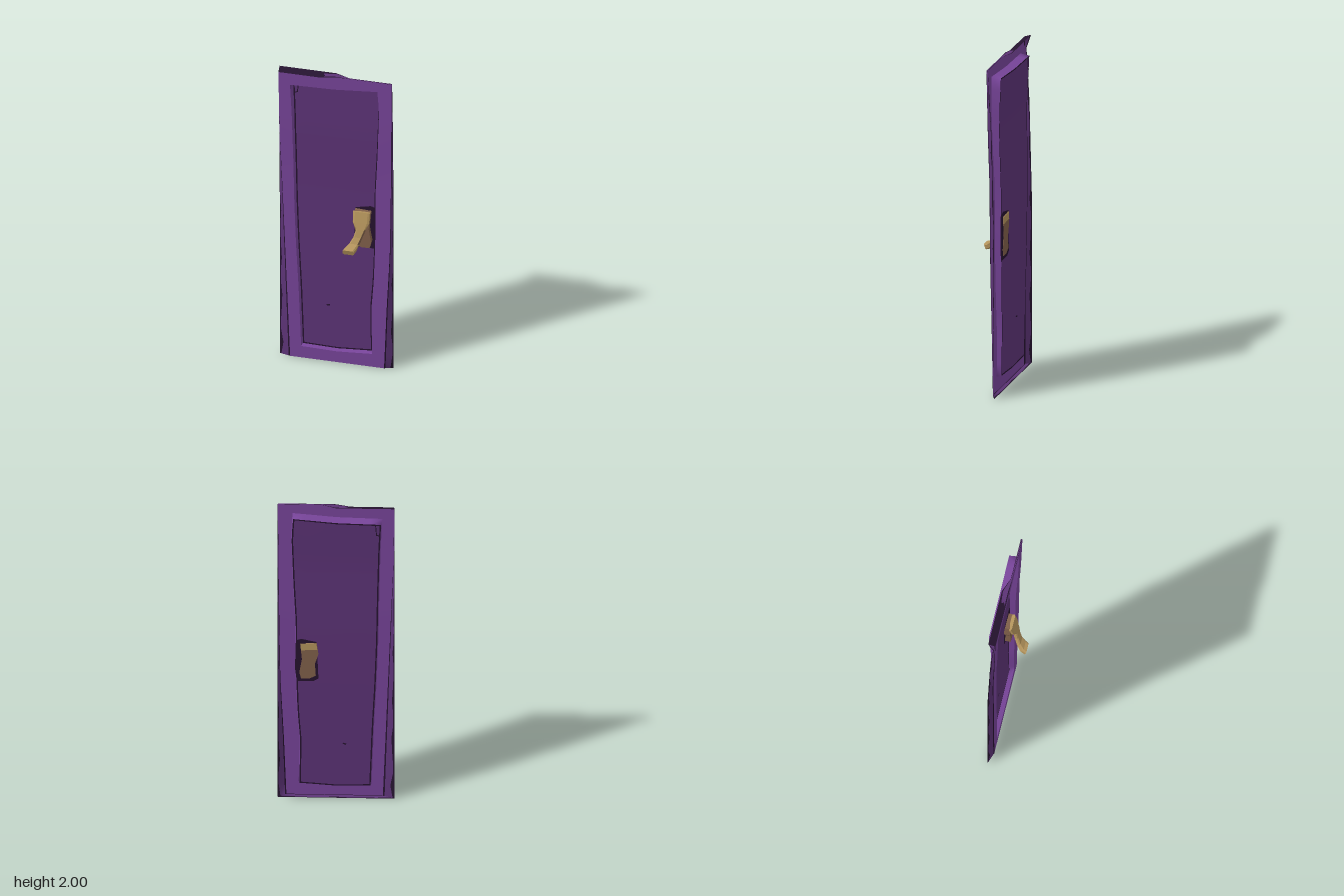
import * as THREE from 'three';

const mat = (name, color, side = THREE.DoubleSide) => {
  const m = new THREE.MeshStandardMaterial({ color, side });
  m.name = name;
  return m;
};

// Piecewise linear curve through [position, value] pairs
const curve = (pts) => (t) => {
  if (t <= pts[0][0]) return pts[0][1];
  for (let i = 1; i < pts.length; i++) {
    const [a, va] = pts[i - 1], [b, vb] = pts[i];
    if (t <= b) return va + (vb - va) * (t - a) / (b - a);
  }
  return pts[pts.length - 1][1];
};

// Open surface through rows of points with equal counts
function sheet(rows) {
  const n = rows[0].length, idx = [];
  for (let r = 0; r < rows.length - 1; r++) {
    for (let c = 0; c < n - 1; c++) {
      const a = r * n + c, b = a + 1, d = a + n, e = d + 1;
      idx.push(a, b, e, a, e, d);
    }
  }
  const g = new THREE.BufferGeometry();
  g.setAttribute('position', new THREE.Float32BufferAttribute(rows.flat(2), 3));
  g.setIndex(idx);
  g.computeVertexNormals();
  return g;
}

// Hand-cut outlines: x of each edge by height
const innerL = curve([[0.08, -0.205], [0.5, -0.22], [0.8, -0.235], [1.1, -0.245], [1.4, -0.25], [1.7, -0.257], [1.92, -0.267]]);
const innerR = curve([[0.08, 0.215], [0.4, 0.21], [0.6, 0.225], [0.9, 0.235], [1.2, 0.235], [1.5, 0.25], [1.8, 0.26], [1.94, 0.25]]);
const outerL = curve([[0, -0.27], [0.4, -0.285], [0.8, -0.3], [1.2, -0.315], [1.6, -0.33], [2, -0.335]]);
const outerR = curve([[0, 0.285], [0.4, 0.3], [0.8, 0.32], [1.1, 0.325], [1.5, 0.33], [2, 0.335]]);
const innerTop = curve([[0, 1.905], [0.5, 1.912], [1, 1.935]]);
const innerBottom = curve([[0, 0.085], [0.5, 0.08], [1, 0.095]]);
// Depth of the face, the pressed panel and the folded rim by height
const faceZ = curve([[0, -0.035], [1, -0.03], [1.3, -0.029], [1.6, -0.02], [2, -0.013]]);
const panelZ = curve([[0, -0.06], [0.75, -0.066], [1.2, -0.066], [1.6, -0.06], [1.9, -0.07]]);
const rimZ = curve([[0, -0.06], [1, -0.06], [1.6, -0.045], [1.9, -0.028], [2, -0.022]]);

// Corner-to-corner walk round the door, as u (across) and v (up)
const COLS = 8, ROWS = 24, walk = [];
for (let i = 0; i < ROWS; i++) walk.push([0, i / ROWS]);
for (let i = 0; i < COLS; i++) walk.push([i / COLS, 1]);
for (let i = 0; i < ROWS; i++) walk.push([1, 1 - i / ROWS]);
for (let i = 0; i <= COLS; i++) walk.push([1 - i / COLS, 0]);
const TOP_START = ROWS, TOP_MID = ROWS + COLS / 2 + 1;

const innerPoint = (inset, z) => ([u, v]) => {
  const y = THREE.MathUtils.lerp(innerBottom(u) + inset, innerTop(u) - inset, v);
  return [THREE.MathUtils.lerp(innerL(y) + inset, innerR(y) - inset, u), y, z(y)];
};
const outerPoint = ([u, v]) => {
  const y = v === 1 && u < 0.5 ? 1.984 : 0.006 + v * 1.994;
  return [THREE.MathUtils.lerp(outerL(y), outerR(y), u), y, faceZ(y)];
};
const rimPoint = ([u, v]) => {
  const y = v * 2;
  return [THREE.MathUtils.lerp(-0.337, 0.336, u), y, v === 1 && u <= 0.5 ? -0.055 : rimZ(y)];
};

export function createModel() {
  const group = new THREE.Group();
  group.name = 'door';
  const purple = mat('frame purple', 0x774499);
  const plum = mat('panel plum', 0x5c3376);
  const ink = mat('ink', 0x25132f);
  const tan = mat('handle tan', 0xb4945c);
  const brown = mat('handle brown', 0x80604a);
  const add = (name, geometry, material, parent = group) => {
    const m = new THREE.Mesh(geometry, material);
    m.name = name;
    parent.add(m);
    return m;
  };

  // Frame, sloping rim and recess walls as strips between outline rings
  const outer = walk.map(outerPoint);
  const rim = walk.map(rimPoint);
  const blend = (f) => outer.map((p, i) => p.map((c, k) => c + (rim[i][k] - c) * f(i)));
  const lineRing = blend(() => 0.15);
  const raggedRing = blend((i) => 0.85 - 0.22 * Math.max(0, Math.sin(i * 1.7)));
  const recessFront = walk.map(innerPoint(0, faceZ));
  const recessBack = walk.map(innerPoint(0.005, panelZ));
  const panelEdge = walk.map(innerPoint(0.013, panelZ));
  add('frame', sheet([outer, recessFront]), purple);
  add('recessWall', sheet([recessFront, recessBack]), purple);
  add('panelOutline', sheet([recessBack, panelEdge]), ink);
  add('frameOutline', sheet([outer, lineRing]), ink);
  add('rim', sheet([lineRing, raggedRing]), plum);
  add('rimEdge', sheet([raggedRing, rim]), ink);

  // Dark folded lip on half of the top edge
  const lift = (ring) => ring.slice(TOP_START, TOP_MID).map(([x, y, z]) => [x, Math.min(2, y + 0.001), z]);
  add('topLip', sheet([lift(outer), lift(rim)]), ink);

  // Panel
  const panelRows = [];
  for (let r = 0; r <= ROWS; r++) {
    const row = [];
    for (let c = 0; c <= COLS; c++) row.push(innerPoint(0.013, panelZ)([c / COLS, r / ROWS]));
    panelRows.push(row);
  }
  add('panel', sheet(panelRows), plum);

  // Scratches painted on both faces of the panel
  const scratch = (x, y, w, h, tilt) => {
    const m = add('scratch', new THREE.BoxGeometry(w, h, 0.005), ink);
    m.position.set(x, y, panelZ(y));
    m.rotation.z = tilt;
  };
  scratch(-0.05, 0.378, 0.02, 0.008, 0.3);
  scratch(-0.232, 1.86, 0.005, 0.07, -0.08);
  scratch(-0.243, 1.825, 0.02, 0.005, 0.5);

  // Thin cut-out plate, centred on a depth
  const plate = (pts, depth, z) => {
    const g = new THREE.ExtrudeGeometry(new THREE.Shape(pts.map(([x, y]) => new THREE.Vector2(x, y))), { depth, bevelEnabled: false });
    return g.translate(0, 0, z - depth / 2);
  };
  const handle = new THREE.Group();
  handle.name = 'handle';
  group.add(handle);
  add('handleShadow', plate([[0.10, 0.83], [0.13, 0.81], [0.225, 0.81], [0.235, 0.9], [0.23, 1.09], [0.2, 1.1], [0.11, 1.08]], 0.006, -0.066), ink, handle);
  add('handlePlate', plate([[0.115, 0.85], [0.15, 0.83], [0.2, 0.83], [0.21, 0.87], [0.195, 0.96], [0.205, 1.07], [0.11, 1.075], [0.1, 1.0], [0.12, 0.93]], 0.04, -0.051), brown, handle);
  add('backPlateTop', plate([[0.106, 1.03], [0.2, 1.025], [0.204, 1.068], [0.112, 1.073]], 0.004, -0.0715), tan, handle);

  // Lever: rounded sections [x, y, z, half width, half thickness]
  const stations = [[0.153, 1.075, -0.032, 0.05, 0.01], [0.154, 1.01, -0.018, 0.048, 0.013], [0.155, 0.97, -0.008, 0.028, 0.013],
    [0.14, 0.92, 0.003, 0.025, 0.013], [0.122, 0.88, 0.02, 0.028, 0.014], [0.105, 0.855, 0.045, 0.034, 0.018], [0.097, 0.847, 0.068, 0.033, 0.018]];
  const sections = stations.map(([x, y, z, w, t], i) => {
    const a = stations[Math.max(0, i - 1)], b = stations[Math.min(stations.length - 1, i + 1)];
    const dy = b[1] - a[1], dz = b[2] - a[2], len = Math.hypot(dy, dz);
    const ring = [];
    for (let k = 0; k <= 8; k++) {
      const sx = [1, 1, 0.75, -0.75, -1, -1, -0.75, 0.75, 1][k];
      const st = [-0.6, 0.6, 1, 1, 0.6, -0.6, -1, -1, -0.6][k];
      ring.push([x + sx * w, y + st * t * dz / len, z - st * t * dy / len]);
    }
    return ring;
  });
  const cap = (i) => sections[i].map(() => stations[i].slice(0, 3));
  const last = sections.length - 1;
  add('lever', sheet(sections).toNonIndexed(), tan, handle).geometry.computeVertexNormals();
  add('leverTip', sheet([sections[last], cap(last)]), tan, handle);
  add('leverTop', sheet([cap(0), sections[0]]), tan, handle);
  // Shaded edge down one side of the lever
  const edge = sections.slice(2, 5).map((s) => [[s[0][0] + 0.001, s[0][1], s[0][2]], [s[1][0] + 0.001, s[1][1], s[1][2]], [s[2][0], s[2][1], s[2][2] + 0.001]]);
  add('leverEdge', sheet(edge), brown, handle);
  return group;
}
